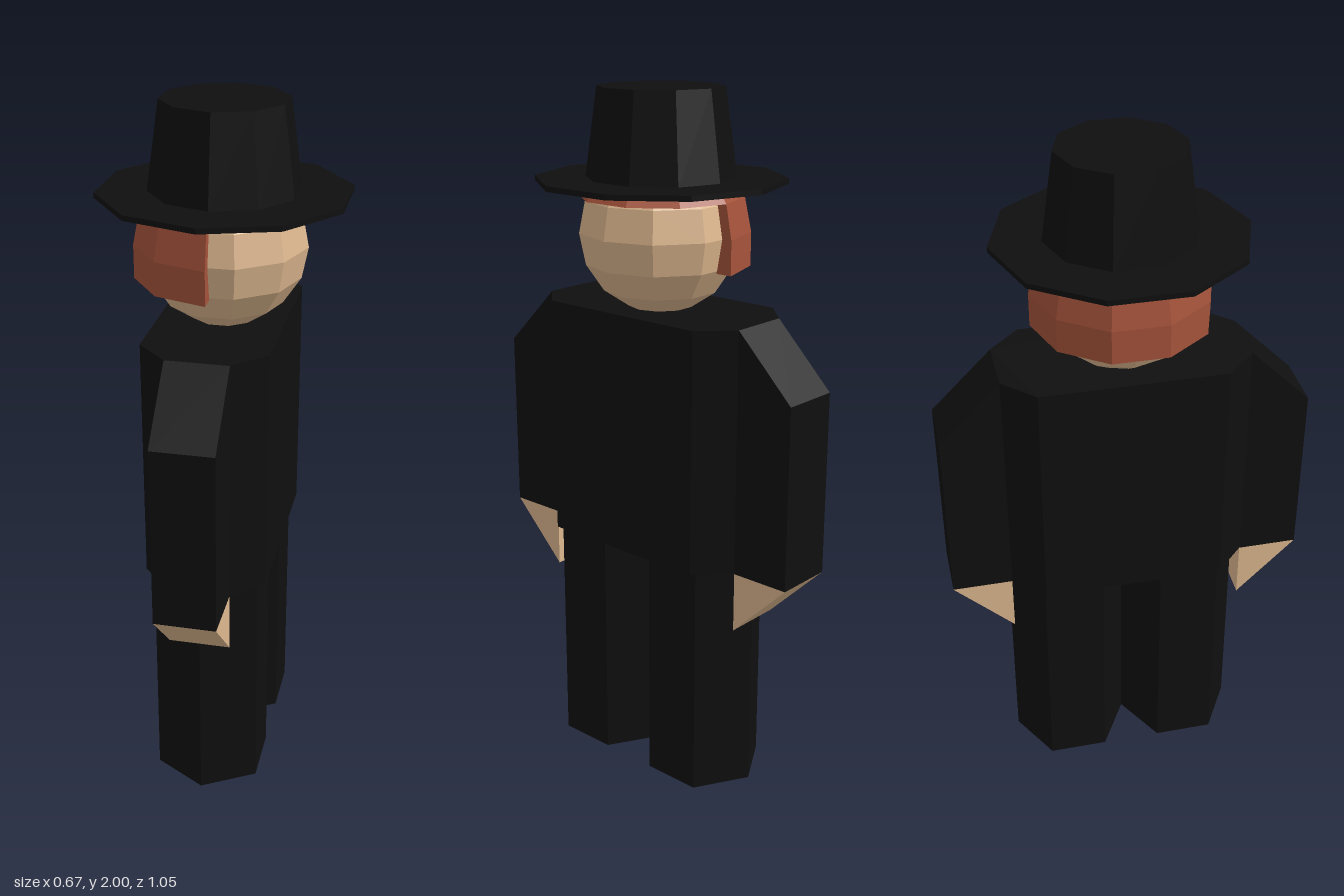
import * as THREE from 'three';

const black = new THREE.MeshStandardMaterial({ color: 0x0f0f0f, flatShading: true });
black.name = 'black cloth';
const skin = new THREE.MeshStandardMaterial({ color: 0xdeb88f, flatShading: true });
skin.name = 'skin';
const red = new THREE.MeshStandardMaterial({ color: 0xa5533a, flatShading: true, side: THREE.DoubleSide });
red.name = 'red hair';

function add(parent, name, geometry, material, x = 0, y = 0, z = 0) {
  const mesh = new THREE.Mesh(geometry, material);
  mesh.name = name;
  mesh.position.set(x, y, z);
  parent.add(mesh);
  return mesh;
}

const points = (list) => list.map(([x, y]) => new THREE.Vector2(x, y));
const extrude = (list, depth) =>
  new THREE.ExtrudeGeometry(new THREE.Shape(points(list)), { depth, bevelEnabled: false });

export function createModel() {
  const model = new THREE.Group();
  model.name = 'figure';

  // Coat: long box with chamfered upright edges
  const c = 0.0875;
  const coat = extrude([
    [2 * c, -3 * c], [2 * c, 3 * c], [c, 4 * c], [-c, 4 * c],
    [-2 * c, 3 * c], [-2 * c, -3 * c], [-c, -4 * c], [c, -4 * c],
  ], 0.7).rotateX(-Math.PI / 2);
  add(model, 'coat', coat, black, 0, 0.7, 0);

  // Arms with sloping shoulders, wedge hands and six-sided legs
  for (const side of [1, -1]) {
    const limbs = new THREE.Group();
    limbs.name = side > 0 ? 'leftLimbs' : 'rightLimbs';
    limbs.rotation.y = side > 0 ? 0 : Math.PI;
    model.add(limbs);
    const sleeve = extrude([[0.34, 0.7], [0.525, 0.7], [0.525, 1.225], [0.35, 1.4], [0.34, 1.4]], 2 * c);
    add(limbs, 'sleeve', sleeve.rotateY(-Math.PI / 2), black, c);
    const hand = extrude([[0.35, 0.7], [0.35, 0.525], [0.525, 0.7]], 2 * c);
    add(limbs, 'hand', hand.rotateY(-Math.PI / 2), skin, c);
    add(limbs, 'leg', new THREE.CylinderGeometry(0.175, 0.175, 0.7, 6), black, 0, 0.35, 0.175);
  }

  // Head: the face looks along +x
  const head = new THREE.SphereGeometry(0.23, 10, 8).rotateY(Math.PI / 2 + Math.PI);
  head.rotateY(Math.PI / 10 * 5 - Math.PI);
  add(model, 'head', head, skin, 0, 1.61, 0);

  // Hair: a ring under the hat and a half shell round the back
  const cap = points([[0.2, 1.706], [0.231, 1.706], [0.177, 1.787]]);
  add(model, 'hairCap', new THREE.LatheGeometry(cap, 10), red);
  const section = [[0.2, 1.515], [0.25, 1.515], [0.25, 1.61], [0.231, 1.706], [0.2, 1.706]];
  add(model, 'hairBack', new THREE.LatheGeometry(points(section), 5, Math.PI, Math.PI), red);
  for (const side of [1, -1]) {
    const edge = new THREE.ShapeGeometry(new THREE.Shape(points(section)));
    add(model, 'hairEdge', edge.rotateY(side * Math.PI / 2), red);
  }

  // Hat: thin ten-sided brim and tapered crown
  add(model, 'hatBrim', new THREE.CylinderGeometry(0.35, 0.35, 0.015, 10), black, 0, 1.75, 0);
  add(model, 'hatCrown', new THREE.CylinderGeometry(0.175, 0.21, 0.25, 10), black, 0, 1.875, 0);
  return model;
}
